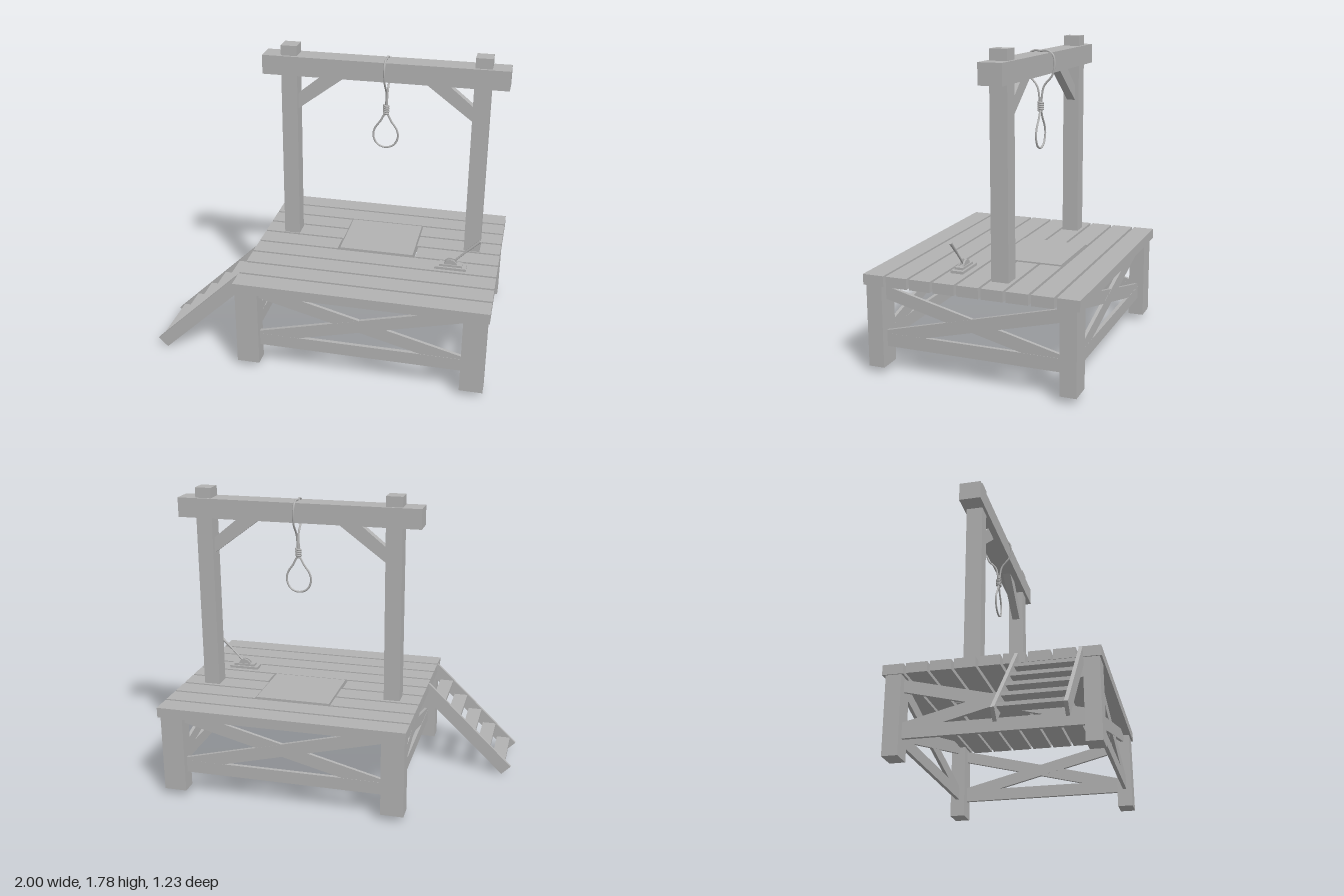
import * as THREE from 'three';

export function createModel() {
  const root = new THREE.Group();
  root.name = 'woodenScaffold';
  const grey = new THREE.MeshStandardMaterial({ color: 0xb2b2b2 });
  grey.name = 'plain grey';

  const add = (name, geometry, parent = root) => {
    const mesh = new THREE.Mesh(geometry, grey);
    mesh.name = name;
    parent.add(mesh);
    return mesh;
  };
  const group = (name) => {
    const g = new THREE.Group();
    g.name = name;
    root.add(g);
    return g;
  };
  // Box given by its limits on each axis
  const box = (name, [x0, x1], [y0, y1], [z0, z1], parent) =>
    add(name, new THREE.BoxGeometry(x1 - x0, y1 - y0, z1 - z0)
      .translate((x0 + x1) / 2, (y0 + y1) / 2, (z0 + z1) / 2), parent);
  // Flat board with an outline in x and y, centred on z
  const board = (points, depth, z) =>
    new THREE.ExtrudeGeometry(new THREE.Shape(points.map((p) => new THREE.Vector2(...p))),
      { depth, bevelEnabled: false }).translate(0, 0, z - depth / 2);

  // Deck planks, cut short around the trapdoor
  const deck = group('deck');
  for (let i = 0; i < 9; i++) {
    const c = -0.5585 + i * 0.1387;
    const z = [c - 0.0615, c + 0.0615];
    if (i >= 2 && i <= 4) {
      box('plankRight', [-0.47, i === 4 ? 0.025 : 0.032], [0.505, 0.565], z, deck);
      box('plankLeft', [i === 4 ? 0.505 : 0.495, 1], [0.505, 0.565], z, deck);
    } else box('plank', [-0.47, 1], [0.505, 0.565], z, deck);
  }
  box('trapdoor', [0.04, 0.487], [0.505, 0.571], [-0.338, 0.054]);

  // Legs
  const base = group('base');
  for (const x of [-0.395, 0.922])
    for (const z of [-0.555, 0.555])
      box('leg', [x - 0.067, x + 0.067], [0.035, 0.506], [z - 0.046, z + 0.046], base);

  // Rail and crossed braces of one side, drawn about its own middle
  const braceFrame = (half, midY, rise, thick) => {
    const g = new THREE.Group();
    g.name = 'braceFrame';
    box('rail', [-half, half], [0.145, 0.22], [-0.011, 0.011], g);
    for (const s of [-1, 1]) {
      const a = midY - s * rise, b = midY + s * rise, t = thick / 2;
      add('crossBrace', board([[-half, a - t], [half, b - t], [half, b + t], [-half, a + t]], 0.02, s * 0.0005), g);
    }
    base.add(g);
    return g;
  };
  for (const z of [-0.555, 0.555]) braceFrame(0.594, 0.35, 0.151, 0.078).position.set(0.2635, 0, z);
  for (const x of [-0.4, 0.93]) {
    const side = braceFrame(0.51, 0.327, 0.127, 0.074);
    side.position.x = x;
    side.rotation.y = Math.PI / 2;
  }

  // Upright frame
  const frame = group('uprightFrame');
  const fz = -0.136;
  for (const x of [-0.302, 0.828])
    box('post', [x - 0.048, x + 0.048], [0.56, 1.78], [fz - 0.049, fz + 0.049], frame);
  box('crossbeam', [-0.46, 0.98], [1.605, 1.72], [fz - 0.066, fz + 0.066], frame);
  const knee = [[-0.56, 1.39], [-0.225, 1.61], [-0.36, 1.61], [-0.56, 1.48]];
  knee[0][0] = knee[3][0] = -0.52;
  for (const s of [-1, 1]) {
    const pts = knee.map(([x, y]) => [0.263 - s * x, y]);
    add('kneeBrace', board(pts, 0.05, fz), frame);
  }

  // Stair on the right side
  const stair = group('stair');
  for (const z of [0.149, 0.502])
    add('stringer', board([[-1, 0.055], [-0.945, 0], [-0.46, 0.46], [-0.46, 0.56], [-0.475, 0.56]], 0.02, z), stair);
  for (let i = 0; i < 5; i++) {
    const x = -0.921 + i * 0.0965, y = 0.08 + i * 0.0915;
    box('tread', [x - 0.042, x + 0.042], [y - 0.01, y + 0.01], [0.155, 0.496], stair);
  }

  // Lever with stepped base and slotted hub
  const lever = group('lever');
  const lz = 0.14;
  box('leverPlate', [0.635, 0.82], [0.56, 0.58], [lz - 0.036, lz + 0.036], lever);
  box('leverStep', [0.66, 0.795], [0.58, 0.593], [lz - 0.024, lz + 0.024], lever);
  for (const s of [-1, 1]) {
    const hub = add('leverHub', new THREE.CylinderGeometry(0.04, 0.04, 0.01, 20, 1, false, 0, Math.PI * 2), lever);
    hub.rotation.x = Math.PI / 2;
    hub.position.set(0.727, 0.583, lz + s * 0.013);
  }
  const rod = (name, x0, y0, x1, y1, r0, r1) => {
    const m = add(name, new THREE.CylinderGeometry(r1, r0, Math.hypot(x1 - x0, y1 - y0), 10), lever);
    m.position.set((x0 + x1) / 2, (y0 + y1) / 2, lz);
    m.rotation.z = -Math.atan2(x1 - x0, y1 - y0);
  };
  rod('leverRod', 0.727, 0.59, 0.82, 0.688, 0.006, 0.006);
  rod('leverGrip', 0.815, 0.683, 0.89, 0.757, 0.007, 0.009);

  // Rope: hanging loop, coiled knot and the turn over the beam
  const rope = group('rope');
  const tube = (name, pts, closed, segments, r = 0.006) =>
    add(name, new THREE.TubeGeometry(new THREE.CatmullRomCurve3(
      pts.map((p) => new THREE.Vector3(...p)), closed), segments, r, 8, closed), rope);
  const rx = 0.272;
  tube('hangingLoop', [[0, 1.395], [0.033, 1.345], [0.066, 1.295], [0.074, 1.25], [0.05, 1.199], [0, 1.18],
    [-0.05, 1.199], [-0.074, 1.25], [-0.066, 1.295], [-0.033, 1.345]].map(([x, y]) => [rx + x, y, fz]), true, 64);
  const coil = [];
  for (let i = 0; i <= 40; i++) {
    const a = i / 40 * Math.PI * 2 * 4.5;
    coil.push([rx + 0.013 * Math.cos(a), 1.393 + i / 40 * 0.052, fz + 0.013 * Math.sin(a)]);
  }
  tube('knot', coil, false, 120, 0.0065);
  tube('knotCore', [[rx, 1.385, fz], [rx, 1.47, fz]], false, 4, 0.009);
  tube('beamTurn', [[0.002, 1.44, 0.004], [0.002, 1.53, 0.02], [0, 1.595, 0.07], [-0.002, 1.66, 0.083], [-0.003, 1.71, 0.07],
    [-0.003, 1.73, 0.035], [-0.002, 1.727, 0], [0, 1.73, -0.035], [0, 1.71, -0.07], [0.002, 1.66, -0.083],
    [0.004, 1.595, -0.07], [0.004, 1.53, -0.02], [0.002, 1.44, -0.004]].map(([x, y, z]) => [rx + x, y, fz + z]), false, 80);

  return root;
}
